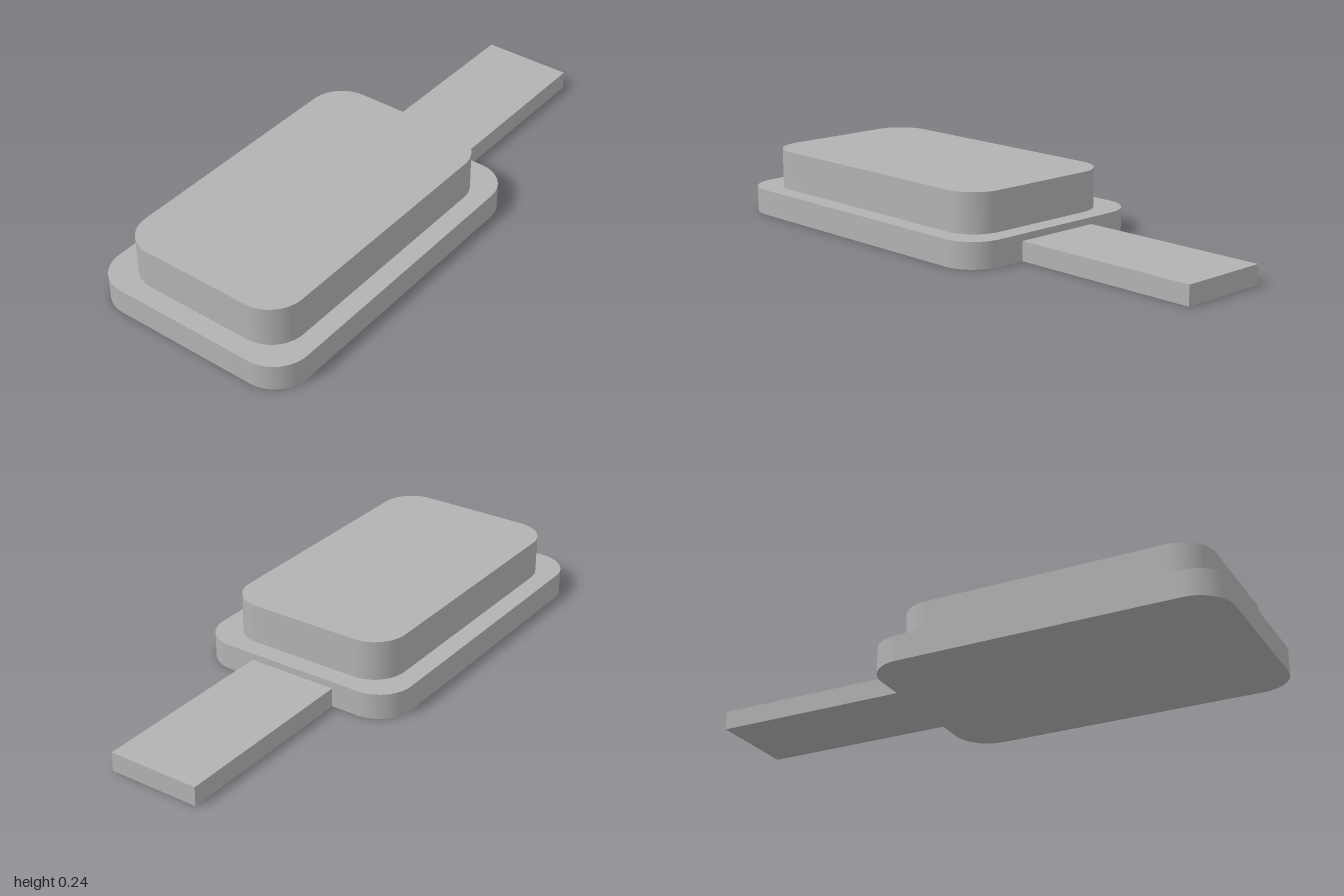
import * as THREE from 'three';
import { toCreasedNormals } from 'three/addons/utils/BufferGeometryUtils.js';

// Upright slab with rounded vertical corners, standing on y = 0
function roundedSlab(width, depth, height, r) {
  const x = width / 2, z = depth / 2;
  const shape = new THREE.Shape();
  shape.absarc(x - r, z - r, r, 0, Math.PI / 2);
  shape.absarc(r - x, z - r, r, Math.PI / 2, Math.PI);
  shape.absarc(r - x, r - z, r, Math.PI, Math.PI * 1.5);
  shape.absarc(x - r, r - z, r, Math.PI * 1.5, Math.PI * 2);
  shape.closePath();
  const geometry = new THREE.ExtrudeGeometry(shape, { depth: height, bevelEnabled: false, curveSegments: 16 });
  geometry.rotateX(-Math.PI / 2);
  return toCreasedNormals(geometry, Math.PI / 6);
}

export function createModel() {
  const group = new THREE.Group();
  const grey = new THREE.MeshStandardMaterial({ color: 0xb2b2b2 });
  grey.name = 'plain grey';

  function add(name, geometry, x, y) {
    const mesh = new THREE.Mesh(geometry, grey);
    mesh.name = name;
    mesh.position.set(x, y, 0);
    group.add(mesh);
  }

  const baseHeight = 0.095, centreX = -0.3625;

  // Wide base flange and the raised block on it
  add('baseFlange', roundedSlab(1.275, 0.806, baseHeight, 0.13), centreX, 0);
  add('raisedBlock', roundedSlab(1.13, 0.663, 0.24 - baseHeight, 0.125), centreX, baseHeight);

  // Flat tab reaching out from the end of the base
  add('tab', new THREE.BoxGeometry(0.725, 0.07, 0.34), 0.6375, 0.035);

  return group;
}
